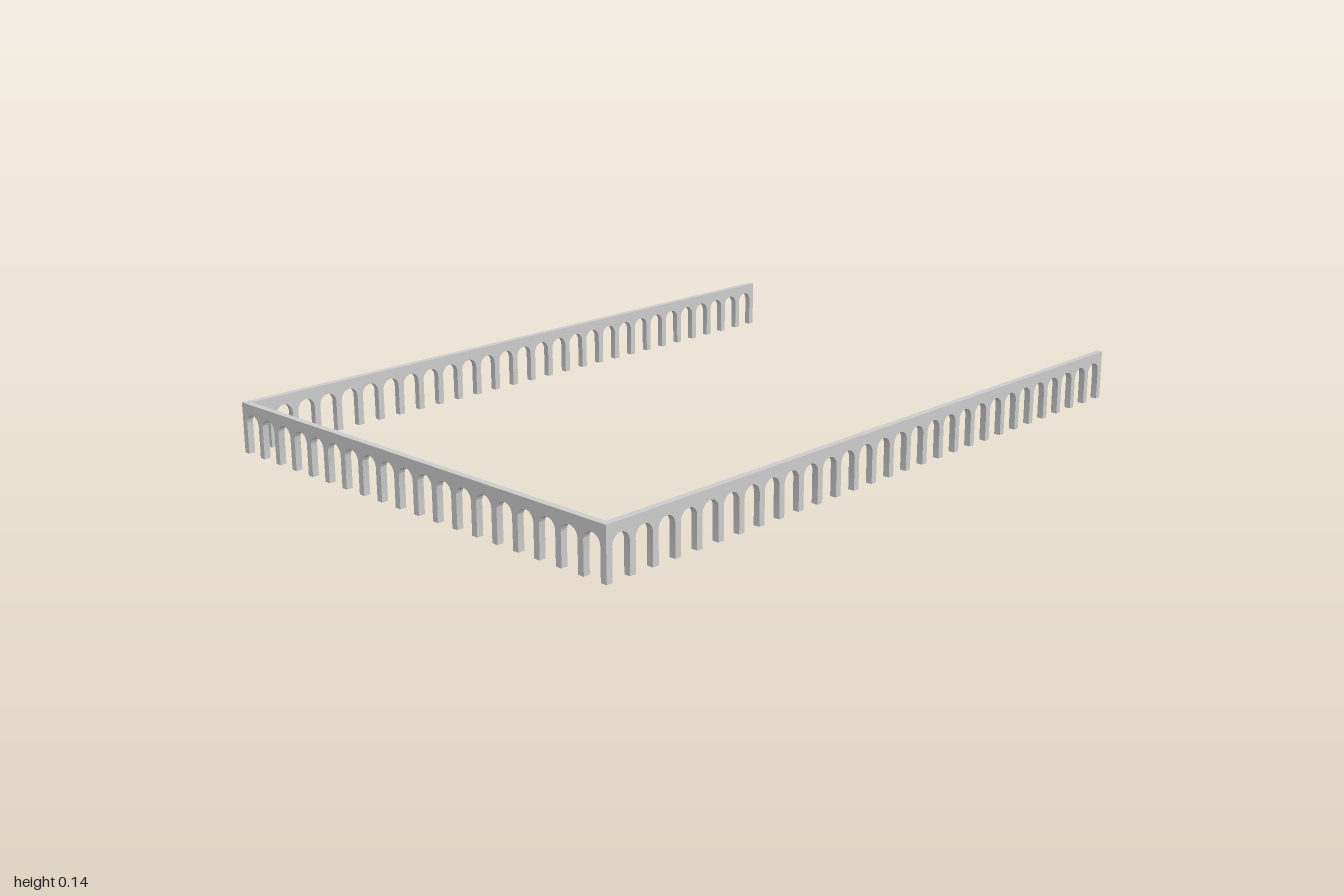
import * as THREE from 'three';
import { toCreasedNormals } from 'three/addons/utils/BufferGeometryUtils.js';

const LONG_BAYS = 28, SIDE_BAYS = 19;
const PILLAR = 0.018;                        // pillar width and wall thickness
const PITCH = (2 - PILLAR) / LONG_BAYS;      // spacing of the pillars
const RADIUS = (PITCH - PILLAR) / 2;         // arch radius
const HEIGHT = 0.137;
const SPRING = 0.11 - RADIUS;                // height where the arches begin

// Arcade wall along x, centred; its end pillars can be left to adjoining walls
function arcadeGeometry(bays, endPillars) {
  const half = (bays * PITCH + (endPillars ? PILLAR : -PILLAR)) / 2;
  const shape = new THREE.Shape();
  shape.moveTo(half, HEIGHT);
  shape.lineTo(-half, HEIGHT);
  if (endPillars) shape.lineTo(-half, 0);
  for (let i = 0; i < bays; i++) {
    const x = (i - (bays - 1) / 2) * PITCH;
    if (endPillars || i > 0) shape.lineTo(x - RADIUS, 0);
    shape.lineTo(x - RADIUS, SPRING);
    shape.absarc(x, SPRING, RADIUS, Math.PI, 0, true);
    if (endPillars || i < bays - 1) shape.lineTo(x + RADIUS, 0);
  }
  if (endPillars) shape.lineTo(half, 0);
  shape.closePath();
  const geometry = new THREE.ExtrudeGeometry(shape, { depth: PILLAR, bevelEnabled: false, curveSegments: 14 });
  geometry.translate(0, 0, -PILLAR / 2);
  return toCreasedNormals(geometry, 0.6);
}

export function createModel() {
  const model = new THREE.Group();
  model.name = 'arcade';
  const material = new THREE.MeshStandardMaterial({ color: 0xcccccc });
  const zWall = SIDE_BAYS * PITCH / 2;

  // Two long arcades, which carry the corner pillars
  const longGeometry = arcadeGeometry(LONG_BAYS, true);
  for (const [name, z] of [['frontArcade', zWall], ['backArcade', -zWall]]) {
    const wall = new THREE.Mesh(longGeometry, material);
    wall.name = name;
    wall.position.z = z;
    model.add(wall);
  }

  // Short arcade joining them; the opposite side stays open
  const side = new THREE.Mesh(arcadeGeometry(SIDE_BAYS, false), material);
  side.name = 'sideArcade';
  side.rotation.y = Math.PI / 2;
  side.position.x = -1 + PILLAR / 2;
  model.add(side);

  return model;
}
